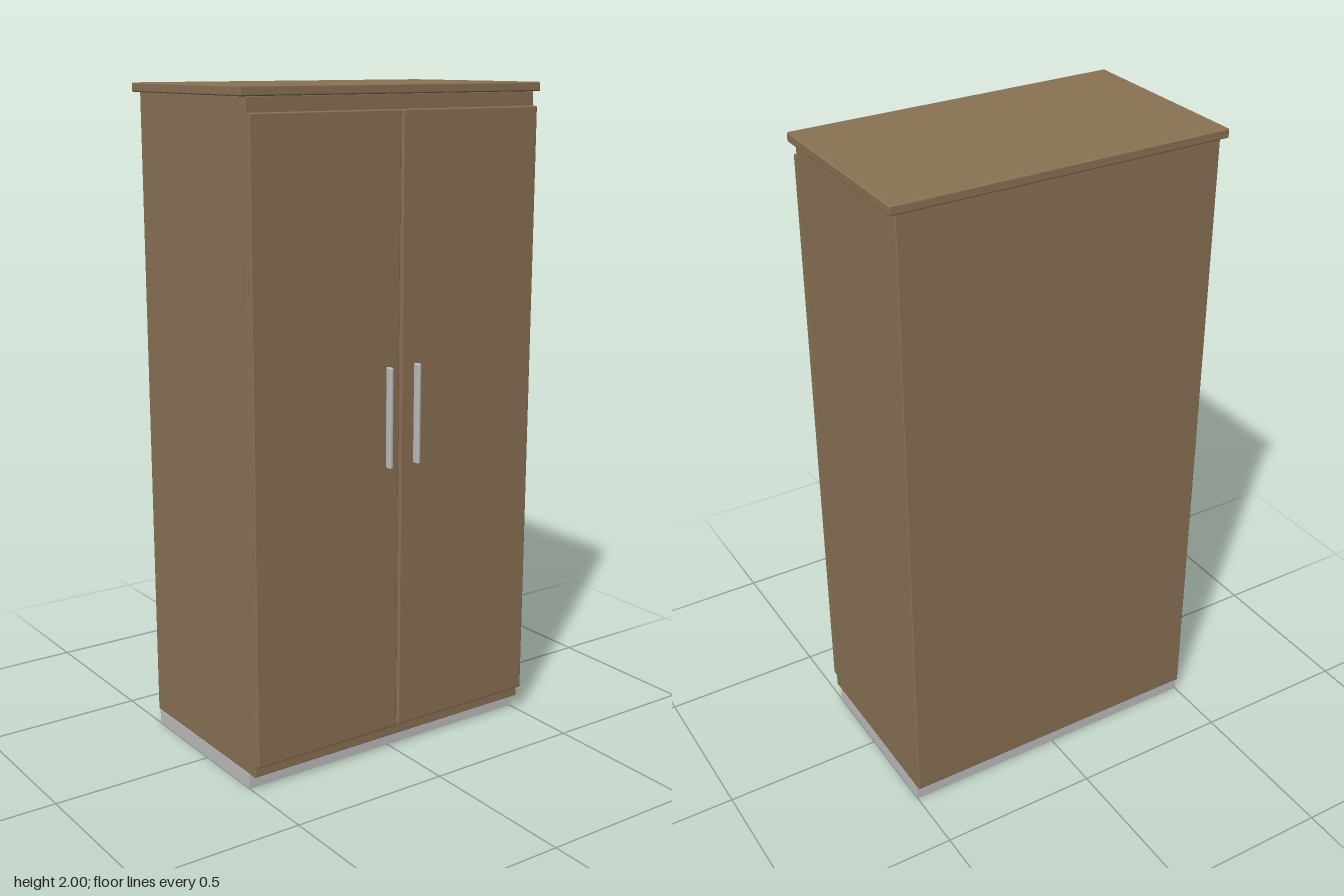
import * as THREE from 'three';
import { RoundedBoxGeometry } from 'three/addons/geometries/RoundedBoxGeometry.js';

const wood = new THREE.MeshStandardMaterial({ name: 'wood', color: 0x8b7355 });
const metal = new THREE.MeshStandardMaterial({ name: 'metal', color: 0xc0c0c0 });

// Box given by its [min, max] extent on each axis, with optional softened edges
function block(name, material, [x0, x1], [y0, y1], [z0, z1], radius = 0) {
  const size = [x1 - x0, y1 - y0, z1 - z0];
  const geometry = radius
    ? new RoundedBoxGeometry(...size, 2, radius)
    : new THREE.BoxGeometry(...size);
  const mesh = new THREE.Mesh(geometry, material);
  mesh.name = name;
  mesh.position.set((x0 + x1) / 2, (y0 + y1) / 2, (z0 + z1) / 2);
  return mesh;
}

export function createModel() {
  const wardrobe = new THREE.Group();
  wardrobe.name = 'wardrobe';

  // Carcass on a recessed plinth, under an overhanging top
  wardrobe.add(
    block('plinth', metal, [-0.5, 0.5], [0, 0.046], [-0.298, 0.243]),
    block('carcass', wood, [-0.5, 0.5], [0.046, 1.974], [-0.308, 0.273], 0.003),
    block('topPanel', wood, [-0.52, 0.52], [1.973, 2], [-0.32, 0.281], 0.004),
  );

  // Mirrored doors with upright bar handles
  for (const [side, s] of [['left', 1], ['right', -1]]) {
    const span = (a, b) => (s > 0 ? [a, b] : [-b, -a]);
    wardrobe.add(
      block(side + 'Door', wood, span(0.004, 0.5), [0.083, 1.931], [0.272, 0.292], 0.004),
      block(side + 'Handle', metal, span(0.044, 0.056), [0.91, 1.21], [0.296, 0.32], 0.004),
    );
  }
  return wardrobe;
}
